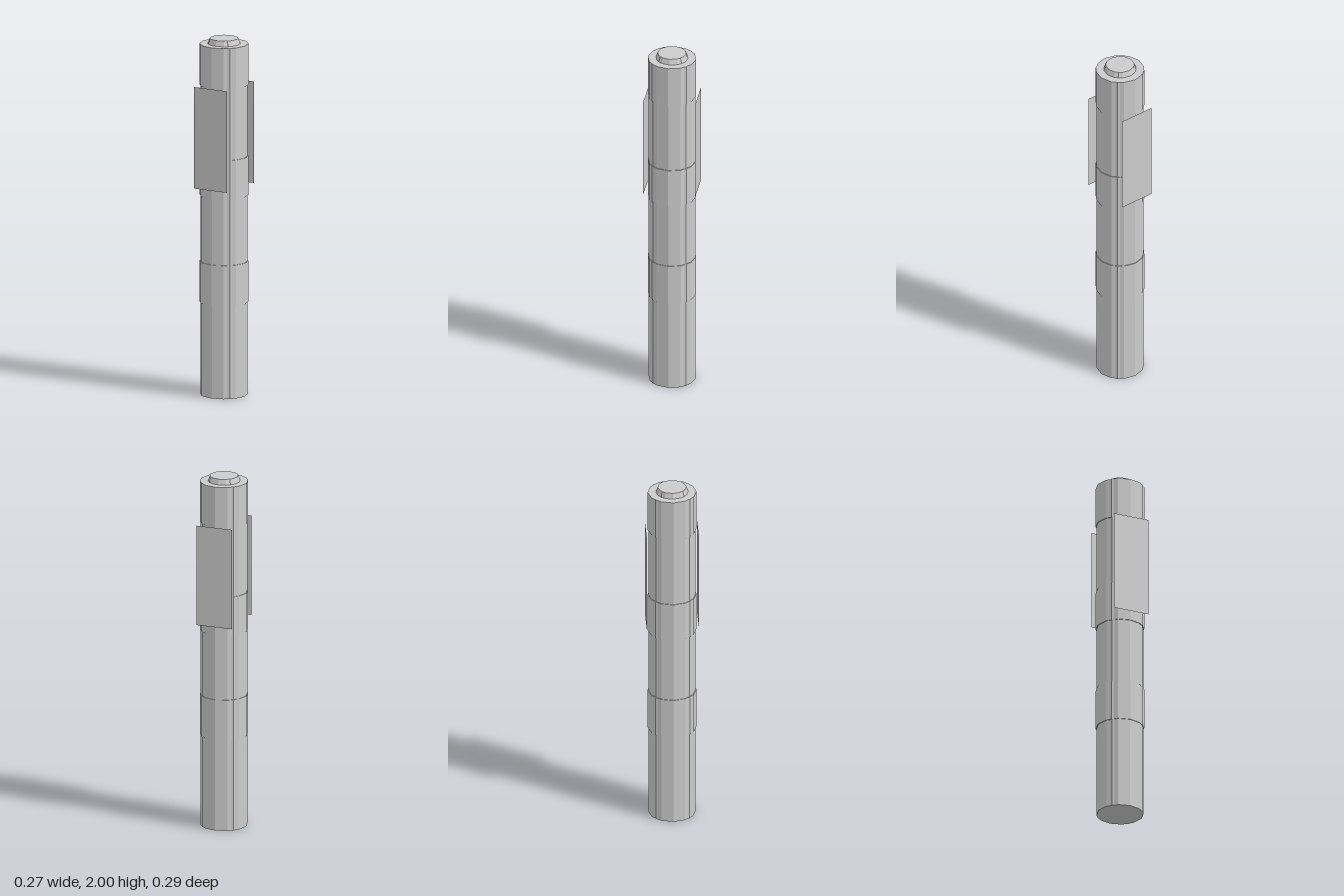
import * as THREE from 'three';

const material = new THREE.MeshStandardMaterial({ color: 0xcccccc, flatShading: true });
const thin = new THREE.MeshStandardMaterial({ color: 0xcccccc, side: THREE.DoubleSide });

// Twelve-sided outline with a small ridge at each diagonal
function outline(r) {
  const pts = [];
  const add = (deg, radius) => {
    const a = THREE.MathUtils.degToRad(deg);
    pts.push(new THREE.Vector2(Math.cos(a) * radius, Math.sin(a) * radius));
  };
  for (let q = 0; q < 360; q += 90) {
    add(q, r);
    add(q + 30, r);
    add(q + 39.5, r * 0.97);
    add(q + 45, r);
    add(q + 50.5, r * 0.97);
    add(q + 60, r);
  }
  return new THREE.Shape(pts);
}

// Upright prism from y0 to y1, optionally tapering to another top radius
function prism(name, r, y0, y1, topR = r) {
  const geo = new THREE.ExtrudeGeometry(outline(r), { depth: y1 - y0, bevelEnabled: false });
  geo.rotateX(-Math.PI / 2);
  geo.translate(0, y0, 0);
  const pos = geo.attributes.position;
  const mid = (y0 + y1) / 2;
  for (let i = 0; i < pos.count; i++) {
    const s = pos.getY(i) > mid ? topR / r : 1;
    pos.setX(i, pos.getX(i) * s);
    pos.setZ(i, pos.getZ(i) * s);
  }
  geo.computeVertexNormals();
  const mesh = new THREE.Mesh(geo, material);
  mesh.name = name;
  return mesh;
}

export function createModel() {
  const model = new THREE.Group();
  model.name = 'tube';

  // Main tube and its three raised bands
  model.add(prism('body', 0.13, 0, 1.96));
  model.add(prism('lowerBand', 0.134, 0.52, 0.75));
  model.add(prism('middleBand', 0.134, 1.12, 1.34));
  model.add(prism('topBand', 0.134, 1.74, 1.97));

  // Tapered plug on the top
  model.add(prism('plug', 0.091, 1.965, 2, 0.079));

  // Flat label plates standing off the front and the back
  for (const side of [1, -1]) {
    const plate = new THREE.Mesh(new THREE.PlaneGeometry(0.21, 0.57), thin);
    plate.name = side > 0 ? 'frontPlate' : 'backPlate';
    plate.position.set(0, 1.455, side * 0.143);
    if (side < 0) plate.rotation.y = Math.PI;
    model.add(plate);
  }
  return model;
}
